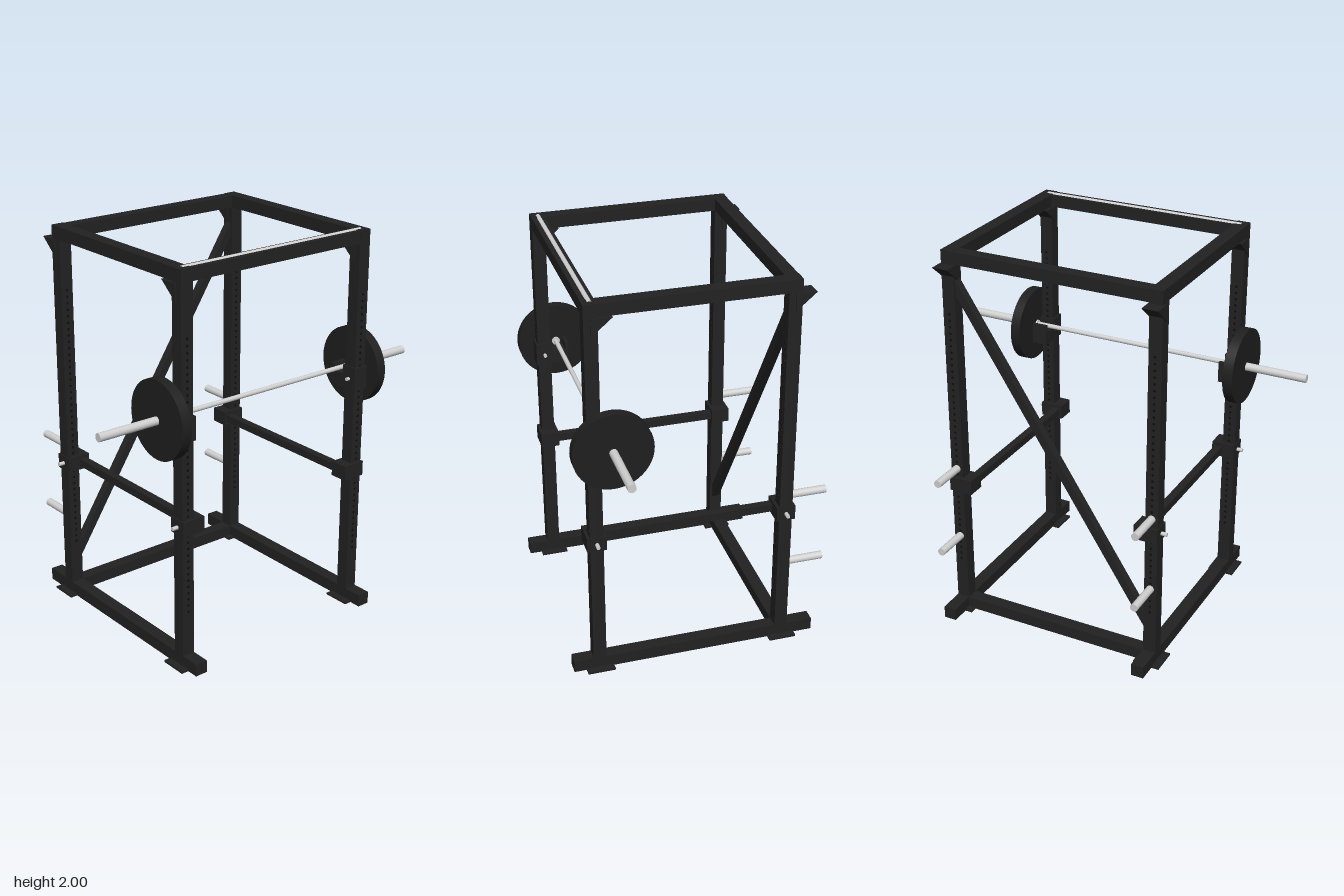
import * as THREE from 'three';

const mat = (name, color) => {
  const m = new THREE.MeshStandardMaterial({ color });
  m.name = name;
  return m;
};

export function createModel() {
  const rack = new THREE.Group();
  rack.name = 'powerRack';
  const black = mat('frameBlack', 0x222222);
  const rubber = mat('plateBlack', 0x1f1f1f);
  const dark = mat('holeDark', 0x0e0e0e);
  const steel = mat('steel', 0xcfcfcf);

  const add = (name, geo, m, x = 0, y = 0, z = 0) => {
    const mesh = new THREE.Mesh(geo, m);
    mesh.name = name;
    mesh.position.set(x, y, z);
    rack.add(mesh);
    return mesh;
  };
  // box given by its minimum and maximum corners
  const box = (name, [x0, y0, z0], [x1, y1, z1], m = black) =>
    add(name, new THREE.BoxGeometry(x1 - x0, y1 - y0, z1 - z0), m,
      (x0 + x1) / 2, (y0 + y1) / 2, (z0 + z1) / 2);
  const rodX = (name, r, x0, x1, y, z, m = steel, sides = 24) =>
    add(name, new THREE.CylinderGeometry(r, r, x1 - x0, sides).rotateZ(Math.PI / 2), m, (x0 + x1) / 2, y, z);
  const rodZ = (name, r, z0, z1, x, y, m = steel, sides = 24) =>
    add(name, new THREE.CylinderGeometry(r, r, z1 - z0, sides).rotateX(Math.PI / 2), m, x, y, (z0 + z1) / 2);
  // box mirrored onto one side: s is +1 for left, -1 for right
  const sideBox = (name, s, x0, x1, y0, y1, z0, z1) =>
    box(name, [Math.min(s * x0, s * x1), y0, z0], [Math.max(s * x0, s * x1), y1, z1]);
  const sideRod = (name, s, r, x0, x1, y, z, m, sides) =>
    rodX(name, r, Math.min(s * x0, s * x1), Math.max(s * x0, s * x1), y, z, m, sides);

  const X = 0.542, H = 0.033, FRONT = 0.522, REAR = -0.436, TOP = 1.995;

  // triangular corner brace, pointing backwards under the top rail
  const tri = new THREE.Shape();
  tri.moveTo(0, 0);
  tri.lineTo(0.1, 0);
  tri.lineTo(0, -0.085);
  tri.closePath();
  const gusset = new THREE.ExtrudeGeometry(tri, { depth: 0.08, bevelEnabled: false })
    .translate(0, 0, -0.04).rotateY(Math.PI / 2);

  for (const s of [1, -1]) {
    // side rails
    sideBox('baseRail', s, X - H, X + H, 0.002, 0.066, -0.605, 0.655);
    sideBox('topSideRail', s, X - H, X + H, TOP - 0.064, TOP, REAR - H, FRONT + H);

    for (const z of [FRONT, REAR]) {
      sideBox('upright', s, X - H, X + H, 0.01, TOP - 0.001, z - H, z + H);
      sideBox('footPlate', s, X - 0.07, X + 0.07, 0, 0.01, z - 0.07, z + 0.07);
      add('cornerGusset', gusset, black, s * X, 1.926, z);
      // adjustment holes
      for (let i = 0; i < 42; i++)
        rodZ('adjustmentHole', 0.007, z - H - 0.001, z + H + 0.001, s * X, 0.3 + i * 0.0335, dark, 8);
      // safety bar bracket and pin
      sideBox('safetyBracket', s, 0.455, 0.579, 0.708, 0.785, z - 0.048, z + 0.048);
      sideRod('safetyPin', s, 0.01, 0.5, 0.61, 0.746, z, steel, 12);
    }
    sideBox('safetyBar', s, 0.47, 0.51, 0.726, 0.766, REAR, FRONT);

    // bar hook: sleeve, shelf, lip and pin
    sideBox('hookSleeve', s, 0.502, 0.582, 1.18, 1.3, FRONT - 0.043, FRONT + 0.043);
    sideBox('hookShelf', s, 0.502, 0.582, 1.18, 1.252, 0.395, 0.485);
    sideBox('hookLip', s, 0.502, 0.582, 1.25, 1.29, 0.395, 0.412);
    sideRod('hookPin', s, 0.009, 0.485, 0.56, 1.236, FRONT, steel, 12);

    // weight storage pegs
    for (const y of [0.437, 0.832])
      rodZ('storagePeg', 0.02, -0.652, REAR - H + 0.01, s * X, y);

    // loaded barbell ends
    sideRod('barSleeve', s, 0.021, 0.575, 0.957, 1.272, 0.445);
    sideRod('weightPlate', s, 0.195, 0.583, 0.635, 1.274, 0.445, rubber, 48);
  }

  // crossbeams
  box('frontTopBeam', [-X, TOP - 0.064, FRONT - H], [X, TOP - 0.002, FRONT + H - 0.002]);
  box('rearTopBeam', [-X, TOP - 0.064, REAR - H], [X, TOP - 0.002, REAR + H]);
  box('rearBaseBeam', [-X, 0.003, REAR - H], [X, 0.065, REAR + H]);

  // pull-up bar set into the front top beam
  rodX('pullUpBar', 0.013, -X, X, 1.987, 0.517);

  // barbell shaft
  rodX('barShaft', 0.012, -0.58, 0.58, 1.272, 0.445);

  // rear diagonal brace
  const a = new THREE.Vector2(-X, 0.18), b = new THREE.Vector2(X, 1.86);
  const brace = add('diagonalBrace', new THREE.BoxGeometry(a.distanceTo(b), 0.042, 0.042), black,
    0, (a.y + b.y) / 2, REAR);
  brace.rotation.z = Math.atan2(b.y - a.y, b.x - a.x);

  return rack;
}
